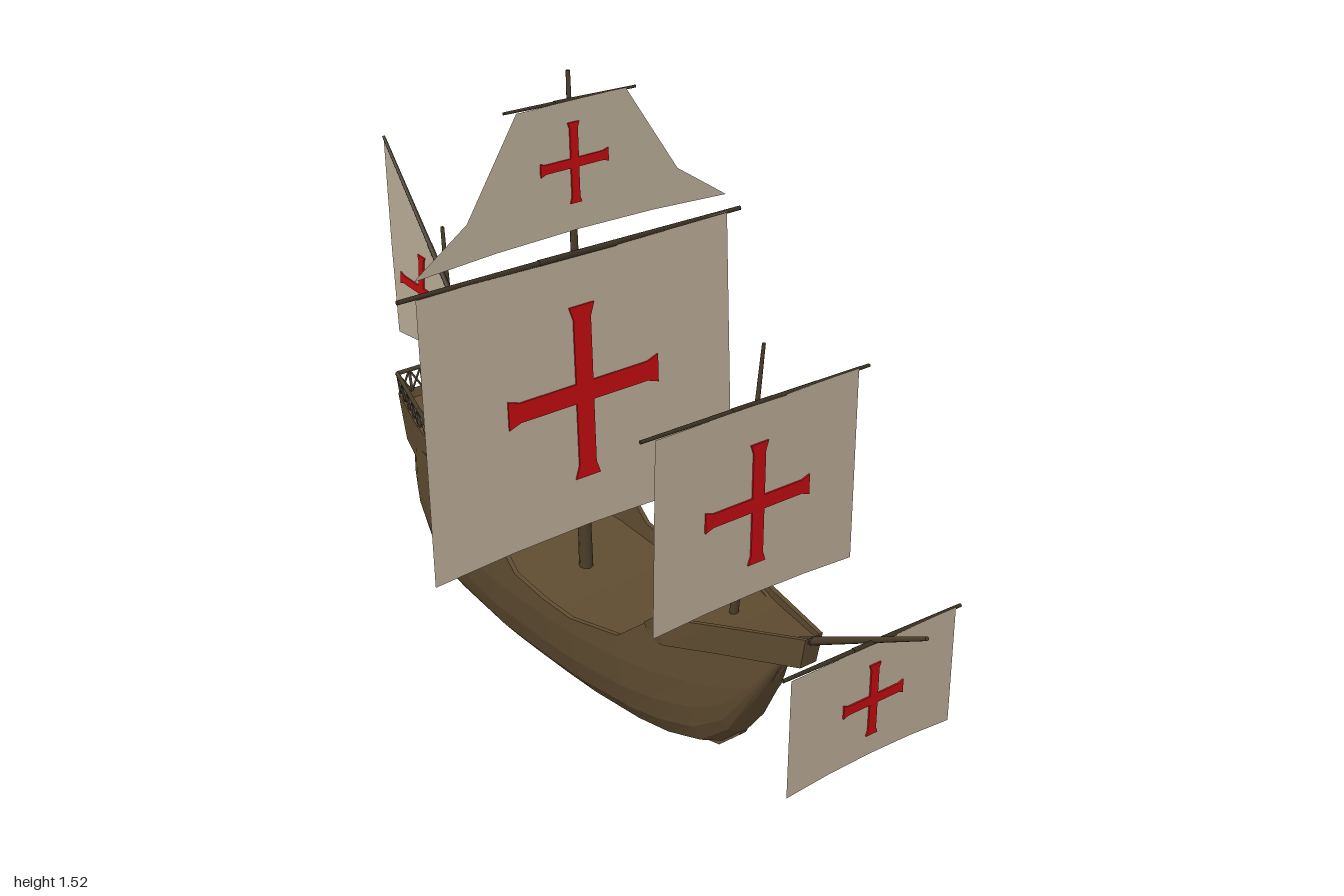
import * as THREE from 'three';

const mat = (name, color, extra = {}) => {
  const m = new THREE.MeshStandardMaterial({ color, ...extra });
  m.name = name;
  return m;
};

export function createModel() {
  const hullWood = mat('hull wood', 0x5f4c31, { flatShading: true, side: THREE.DoubleSide });
  const keelWood = mat('keel wood', 0x6b5238);
  const mastWood = mat('mast wood', 0x4a3d2a);
  const yardWood = mat('yard wood', 0x3a3022);
  const canvas = mat('canvas', 0xb9ab96, { side: THREE.DoubleSide });
  const red = mat('red paint', 0xc00c10);

  const ship = new THREE.Group();
  ship.name = 'sailingShip';
  const add = (name, geometry, material, parent = ship) => {
    const mesh = new THREE.Mesh(geometry, material);
    mesh.name = name;
    parent.add(mesh);
    return mesh;
  };

  // Tapered round spar between two points
  const spar = (name, a, b, r1, r2, material, parent = ship, sides = 8) => {
    const p = new THREE.Vector3(...a), q = new THREE.Vector3(...b), d = q.clone().sub(p);
    const mesh = add(name, new THREE.CylinderGeometry(r2, r1, d.length(), sides), material, parent);
    mesh.position.copy(p).add(q).multiplyScalar(0.5);
    mesh.quaternion.setFromUnitVectors(new THREE.Vector3(0, 1, 0), d.normalize());
  };

  // Skin over mirrored half sections, listed stern to bow; the first
  // `outer` points of each section also form the end walls
  const loft = (halves, outer) => {
    const n = halves[0].length, ring = 2 * n, pos = [], idx = [];
    for (const h of halves) {
      h.forEach(([x, y, z]) => pos.push(x, y, z));
      [...h].reverse().forEach(([x, y, z]) => pos.push(x, y, -z));
    }
    for (let i = 0; i < halves.length - 1; i++) {
      for (let j = 0; j < ring; j++) {
        const a = i * ring + j, d = i * ring + (j + 1) % ring, b = a + ring, c = d + ring;
        idx.push(a, b, c, a, c, d);
      }
    }
    for (const [base, flip] of [[0, false], [(halves.length - 1) * ring, true]]) {
      for (let j = 0; j < outer - 1; j++) {
        const a = base + j, b = a + 1, c = base + ring - 2 - j, d = c + 1;
        idx.push(...(flip ? [a, c, b, a, d, c] : [a, b, c, a, c, d]));
      }
    }
    let g = new THREE.BufferGeometry();
    g.setAttribute('position', new THREE.Float32BufferAttribute(pos, 3));
    g.setIndex(idx);
    g = g.toNonIndexed();
    g.computeVertexNormals();
    return g;
  };

  // Hull stations: x, half width, rail height, bottom, deck height
  const hullStations = [
    [-0.80, 0.085, 0.38, 0.27, 0.33], [-0.76, 0.105, 0.39, 0.12, 0.33],
    [-0.68, 0.13, 0.40, 0.045, 0.32], [-0.55, 0.168, 0.41, 0.022, 0.30],
    [-0.27, 0.205, 0.395, 0.02, 0.275], [-0.17, 0.207, 0.31, 0.02, 0.265],
    [-0.05, 0.207, 0.295, 0.02, 0.26], [0.05, 0.203, 0.29, 0.02, 0.26],
    [0.20, 0.18, 0.31, 0.02, 0.265], [0.29, 0.155, 0.385, 0.025, 0.27],
    [0.38, 0.12, 0.40, 0.045, 0.36], [0.45, 0.088, 0.40, 0.11, 0.36],
    [0.52, 0.05, 0.40, 0.24, 0.37], [0.575, 0.018, 0.40, 0.355, 0.38],
  ];
  const bilge = [[0.06, 0], [0.63, 0.13], [0.84, 0.32], [0.95, 0.56], [1, 0.85]];
  add('hull', loft(hullStations.map(([x, w, top, bot, deck]) => {
    const wale = Math.max(0.29, bot + 0.02), inner = w - Math.min(0.012, w * 0.4);
    return [
      ...bilge.map(([u, v]) => [x, bot + (wale - bot) * v, w * u]),
      [x, top, w], [x, top, inner], [x, deck, inner], [x, deck, 0],
    ];
  }), 6), hullWood);

  // Raised castles: x at top, x at bottom, half width, top, bottom, deck
  const castle = (name, stations) => add(name, loft(stations.map(([xt, xb, w, top, bot, deck]) => {
    const inner = w - Math.min(0.012, w * 0.4);
    return [[xb, bot, 0], [xb, bot, w * 0.93], [xt, top, w], [xt, top, inner], [xt, deck, inner], [xt, deck, 0]];
  }), 3), hullWood);
  castle('sternCastle', [
    [-0.885, -0.86, 0.075, 0.48, 0.35, 0.455], [-0.72, -0.72, 0.123, 0.46, 0.335, 0.435],
    [-0.62, -0.62, 0.145, 0.455, 0.325, 0.43], [-0.548, -0.56, 0.174, 0.41, 0.33, 0.295],
  ]);
  castle('foreCastle', [
    [0.28, 0.28, 0.164, 0.38, 0.33, 0.27], [0.305, 0.33, 0.158, 0.402, 0.335, 0.385],
    [0.45, 0.45, 0.104, 0.43, 0.355, 0.41], [0.665, 0.65, 0.025, 0.47, 0.39, 0.455],
  ]);

  // Keel, stem and rudder in one thin plate
  const keel = new THREE.Shape([
    [-0.815, 0.29], [-0.78, 0], [0.3, 0.014], [0.37, 0.03], [0.44, 0.095], [0.575, 0.35],
    [0.5, 0.3], [0.35, 0.08], [-0.6, 0.08], [-0.76, 0.29],
  ].map(p => new THREE.Vector2(...p)));
  add('keelAndRudder', new THREE.ExtrudeGeometry(keel, { depth: 0.02, bevelEnabled: false }).translate(0, 0, -0.01), keelWood);

  // Lattice railing round the stern
  const railing = new THREE.Group();
  railing.name = 'sternRailing';
  ship.add(railing);
  const fence = (a, b, bays) => {
    const low = t => a[0].map((v, k) => v + (b[0][k] - v) * t);
    const high = t => a[1].map((v, k) => v + (b[1][k] - v) * t);
    const bar = (p, q, r) => spar('railBar', p, q, r, r, mastWood, railing, 5);
    bar(high(0), high(1), 0.006);
    for (let i = 0; i <= bays; i++) {
      const t = i / bays, u = (i + 1) / bays;
      bar(low(t), high(t), 0.004);
      if (i < bays) {
        bar(low(t), high(u), 0.003);
        bar(high(t), low(u), 0.003);
      }
    }
  };
  const corner = s => [[-0.88, 0.475, s * 0.07], [-0.89, 0.533, s * 0.072]];
  for (const s of [1, -1]) {
    const mid = [[-0.72, 0.455, s * 0.117], [-0.72, 0.507, s * 0.117]];
    fence(corner(s), mid, 4);
    fence(mid, [[-0.615, 0.45, s * 0.14], [-0.615, 0.49, s * 0.14]], 2);
  }
  fence(corner(1), corner(-1), 4);

  // Masts and bowsprit
  spar('mainMast', [-0.159, 0.24, 0], [-0.212, 1.515, 0], 0.018, 0.005, mastWood);
  spar('foreMast', [0.395, 0.36, 0], [0.473, 1.095, 0], 0.011, 0.004, mastWood);
  spar('mizzenMast', [-0.706, 0.42, 0], [-0.756, 0.97, 0], 0.01, 0.005, mastWood);
  spar('bowsprit', [0.6, 0.425, 0], [0.995, 0.63, 0], 0.011, 0.005, mastWood);

  // Cross with flared arm ends
  const crossShape = (w, h, t) => {
    const f = t * 1.45, quarter = [[t, t], [t, h * 0.85], [f, h], [-f, h], [-t, h * 0.85], [-t, t]];
    const side = [[-w * 0.85, t], [-w, f], [-w, -f], [-w * 0.85, -t], [-t, -t]];
    const half = [...quarter, ...side.slice(0, 4)];
    const pts = [...half, ...half.map(([x, y]) => [-x, -y])];
    return new THREE.Shape(pts.map(p => new THREE.Vector2(...p)));
  };
  const crossPlate = (w, h, t) =>
    new THREE.ExtrudeGeometry(crossShape(w, h, t), { depth: 0.008, bevelEnabled: false }).translate(0, 0, -0.004);
  const sheet = pts => new THREE.ShapeGeometry(new THREE.Shape(pts.map(p => new THREE.Vector2(...p))));

  // Square sails: right edge from top down, middle of the foot, lean along the mast
  const squareSail = (name, { x, lean = 0, edge, foot, cross, yard, lap, r }) => {
    const g = new THREE.Group();
    g.name = name;
    g.position.x = x;
    g.rotation.y = Math.PI / 2;
    ship.add(g);
    const top = edge[0][1], [w, low] = edge[edge.length - 1];
    const bend = [[w * 0.5, foot - (foot - low) * 0.25], [0, foot], [-w * 0.5, foot - (foot - low) * 0.25]];
    const slope = geo => geo.applyMatrix4(new THREE.Matrix4().set(
      1, 0, 0, 0, 0, 1, 0, 0, 0, lean, 1, -lean * top, 0, 0, 0, 1));
    add('sailCloth', slope(sheet([...edge, ...bend, ...[...edge].reverse().map(([a, b]) => [-a, b])])), canvas, g);
    const [cy, cw, ch, ct] = cross;
    add('sailCross', slope(crossPlate(cw, ch, ct).translate(0, cy, 0)), red, g);
    // Yard of two overlapping spars
    spar('yardLeft', [lap, top - 0.001, -0.005], [-yard, top + 0.005, -0.005], r, r * 0.7, yardWood, g);
    spar('yardRight', [-lap, top + 0.002, -0.005], [yard, top - 0.004, -0.005], r, r * 0.7, yardWood, g);
  };
  squareSail('mainSail', {
    x: -0.178, lean: -0.051, edge: [[0.445, 1.085], [0.448, 0.372]], foot: 0.39,
    cross: [0.74, 0.22, 0.22, 0.025], yard: 0.49, lap: 0.11, r: 0.008,
  });
  squareSail('topSail', {
    x: -0.198, lean: -0.045, edge: [[0.152, 1.448], [0.298, 1.225], [0.445, 1.127]], foot: 0.1435 + 1,
    cross: [1.304, 0.095, 0.095, 0.011], yard: 0.183, lap: 0.045, r: 0.005,
  });
  squareSail('foreSail', {
    x: 0.468, edge: [[0.285, 0.953], [0.287, 0.475]], foot: 0.485,
    cross: [0.712, 0.148, 0.148, 0.017], yard: 0.32, lap: 0.075, r: 0.006,
  });
  squareSail('spritSail', {
    x: 0.852, edge: [[0.234, 0.547], [0.235, 0.258]], foot: 0.27,
    cross: [0.41, 0.085, 0.088, 0.011], yard: 0.253, lap: 0.06, r: 0.006,
  });

  // Triangular sail on the slanting mizzen yard
  const lateen = new THREE.Group();
  lateen.name = 'mizzenSail';
  lateen.position.z = 0.012;
  ship.add(lateen);
  add('sailCloth', sheet([[-0.998, 1.14], [-0.985, 0.85], [-0.968, 0.61], [-0.85, 0.618], [-0.7, 0.61], [-0.515, 0.585]]), canvas, lateen);
  const cross = add('sailCross', crossPlate(0.098, 0.098, 0.011), red, lateen);
  cross.position.set(-0.845, 0.768, 0);
  cross.rotation.z = -0.06;
  spar('yardUpper', [-0.7, 0.795, 0], [-0.998, 1.145, 0], 0.007, 0.004, yardWood, lateen);
  spar('yardLower', [-0.8, 0.912, 0], [-0.512, 0.576, 0], 0.007, 0.005, yardWood, lateen);

  return ship;
}
